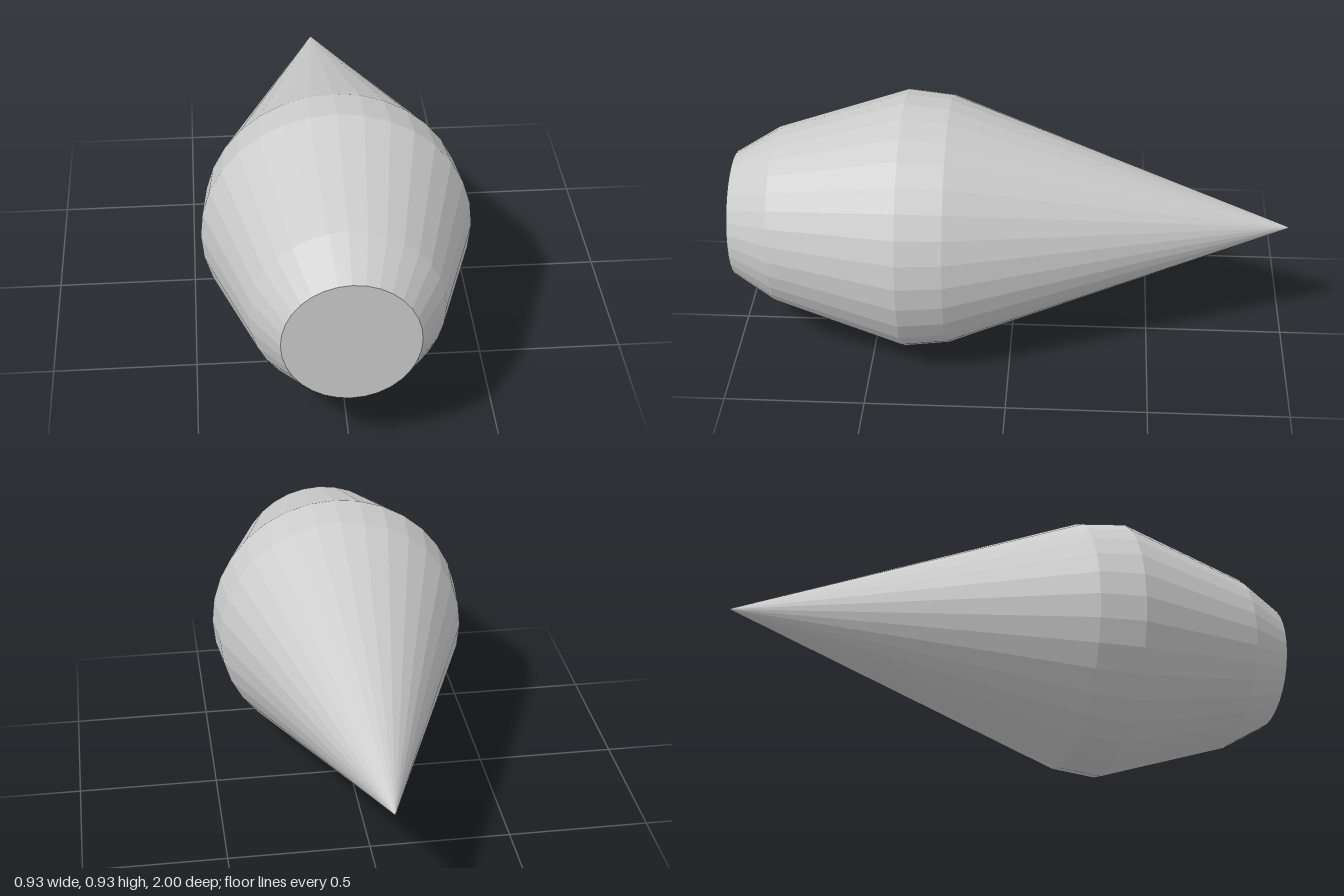
import * as THREE from 'three';

const SIDES = 32;

export function createModel() {
  const model = new THREE.Group();
  model.name = 'taperedBody';
  const material = new THREE.MeshStandardMaterial({ color: 0xcccccc, flatShading: true });

  // Turned part along z, from [radius, z] pairs running back to front
  const turned = (name, profile) => {
    const points = profile.map(([r, z]) => new THREE.Vector2(r, z));
    const geometry = new THREE.LatheGeometry(points, SIDES);
    geometry.rotateX(Math.PI / 2);
    const mesh = new THREE.Mesh(geometry, material);
    mesh.name = name;
    mesh.position.y = 0.467;
    model.add(mesh);
  };

  // Long pointed tail
  turned('tailCone', [[0, -1], [0.45, 0.22]]);
  // Widest band
  turned('middleBand', [[0.45, 0.22], [0.467, 0.38]]);
  // Narrowing front with its flat end
  turned('frontBody', [[0.467, 0.38], [0.32, 0.845], [0.226, 1]]);
  turned('frontCap', [[0.226, 1], [0, 1]]);

  return model;
}
